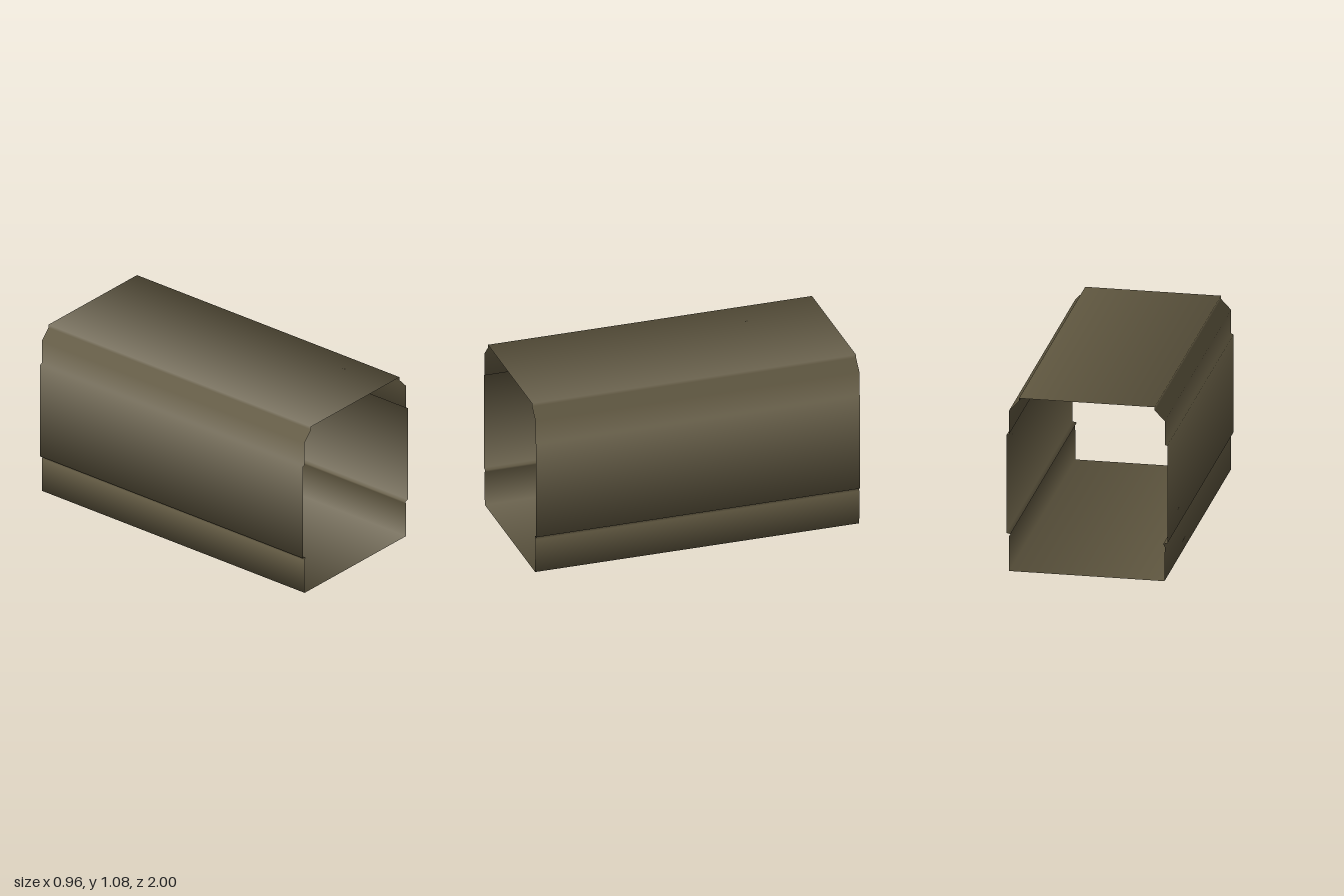
import * as THREE from 'three';

const HALF_LENGTH = 1;

// Right half of the cross-section, from the floor corner up to the roof corner
const HALF_PROFILE = [
  [0.463, 0], [0.465, 0.213], // lower skirt
  [0.455, 0.23], [0.48, 0.235], // groove and lip
  [0.48, 0.84], [0.465, 0.846], // main wall and upper step
  [0.465, 0.992], // upper wall
  [0.405, 1.055], [0.405, 1.075], // chamfer and roof rim
];

// Open sleeve: a closed cross-section swept along z with softened normals
function sleeveGeometry(profile) {
  const n = profile.length;
  const faceNormals = profile.map(([x, y], i) => {
    const [nx, ny] = profile[(i + 1) % n];
    return new THREE.Vector2(ny - y, x - nx).normalize();
  });
  const positions = [], normals = [], indices = [];
  for (let i = 0; i < n; i++) {
    const normal = faceNormals[i].clone().add(faceNormals[(i + n - 1) % n]).normalize();
    for (const z of [HALF_LENGTH, -HALF_LENGTH]) {
      positions.push(profile[i][0], profile[i][1], z);
      normals.push(normal.x, normal.y, 0);
    }
    const a = 2 * i, b = 2 * ((i + 1) % n);
    indices.push(a, a + 1, b + 1, a, b + 1, b);
  }
  const geometry = new THREE.BufferGeometry();
  geometry.setAttribute('position', new THREE.Float32BufferAttribute(positions, 3));
  geometry.setAttribute('normal', new THREE.Float32BufferAttribute(normals, 3));
  geometry.setIndex(indices);
  return geometry;
}

export function createModel() {
  const group = new THREE.Group();
  group.name = 'openSleeve';

  const olive = new THREE.MeshStandardMaterial({ color: 0x645b43, side: THREE.DoubleSide });
  olive.name = 'dark olive';

  const mirrored = HALF_PROFILE.map(([x, y]) => [-x, y]).reverse();
  const shell = new THREE.Mesh(sleeveGeometry([...HALF_PROFILE, ...mirrored]), olive);
  shell.name = 'sleeveShell';
  group.add(shell);
  return group;
}
